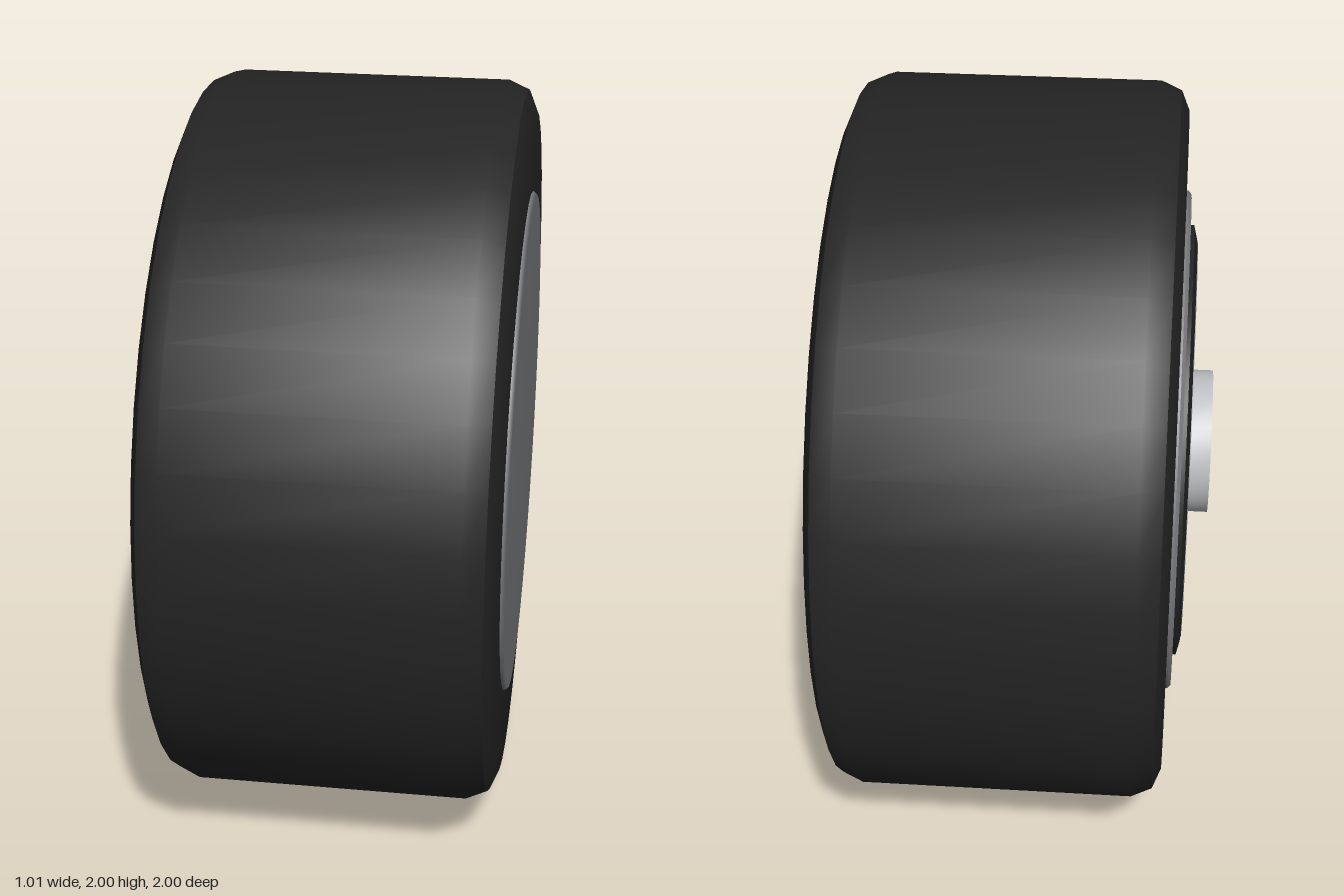
import * as THREE from 'three';
import { toCreasedNormals } from 'three/addons/utils/BufferGeometryUtils.js';

const mat = (name, color) => {
  const m = new THREE.MeshStandardMaterial({ color });
  m.name = name;
  return m;
};

// Turns a profile of [x, radius] points, listed from -x to +x, about the wheel axle.
function turned(name, profile, material, crease = 0.6, sides = 40) {
  const points = profile.map(([x, r]) => new THREE.Vector2(r, x));
  let geometry = new THREE.LatheGeometry(points, sides);
  geometry.rotateZ(-Math.PI / 2);
  if (crease) geometry = toCreasedNormals(geometry, crease);
  const mesh = new THREE.Mesh(geometry, material);
  mesh.name = name;
  return mesh;
}

export function createModel() {
  const rubber = mat('black rubber', 0x242424);
  const grey = mat('rim grey', 0x787a7d);
  const steel = mat('axle steel', 0xc0c1c4);

  const wheel = new THREE.Group();
  wheel.name = 'wheel';
  wheel.position.y = 1;

  // Tyre with rounded shoulders
  wheel.add(turned('tyre', [
    [-0.407, 0.6], [-0.407, 0.92], [-0.384, 0.975], [-0.327, 1],
    [0.412, 1], [0.469, 0.975], [0.492, 0.92], [0.492, 0.6],
  ], rubber));

  // Outer rim cover with a softened edge
  wheel.add(turned('rimCover', [
    [0.505, 0], [0.504, 0.69], [0.495, 0.698], [0.48, 0.698],
  ].reverse().map(([x, r]) => [x, r]), grey, 0));

  // Inner rim band
  wheel.add(turned('innerRim', [
    [-0.423, 0.5], [-0.423, 0.69], [-0.414, 0.7], [-0.4, 0.7],
  ], grey));

  // Dark chamfered seal around the hub plate
  wheel.add(turned('seal', [
    [-0.444, 0.5], [-0.444, 0.565], [-0.434, 0.605], [-0.42, 0.605],
  ], rubber));

  // Hub plate inside the seal
  wheel.add(turned('hubPlate', [
    [-0.446, 0], [-0.446, 0.555], [-0.44, 0.555],
  ], grey));

  // Axle stub
  wheel.add(turned('axle', [
    [-0.505, 0], [-0.505, 0.2], [-0.44, 0.2],
  ], steel));

  const model = new THREE.Group();
  model.name = 'wheelModel';
  model.add(wheel);
  return model;
}
